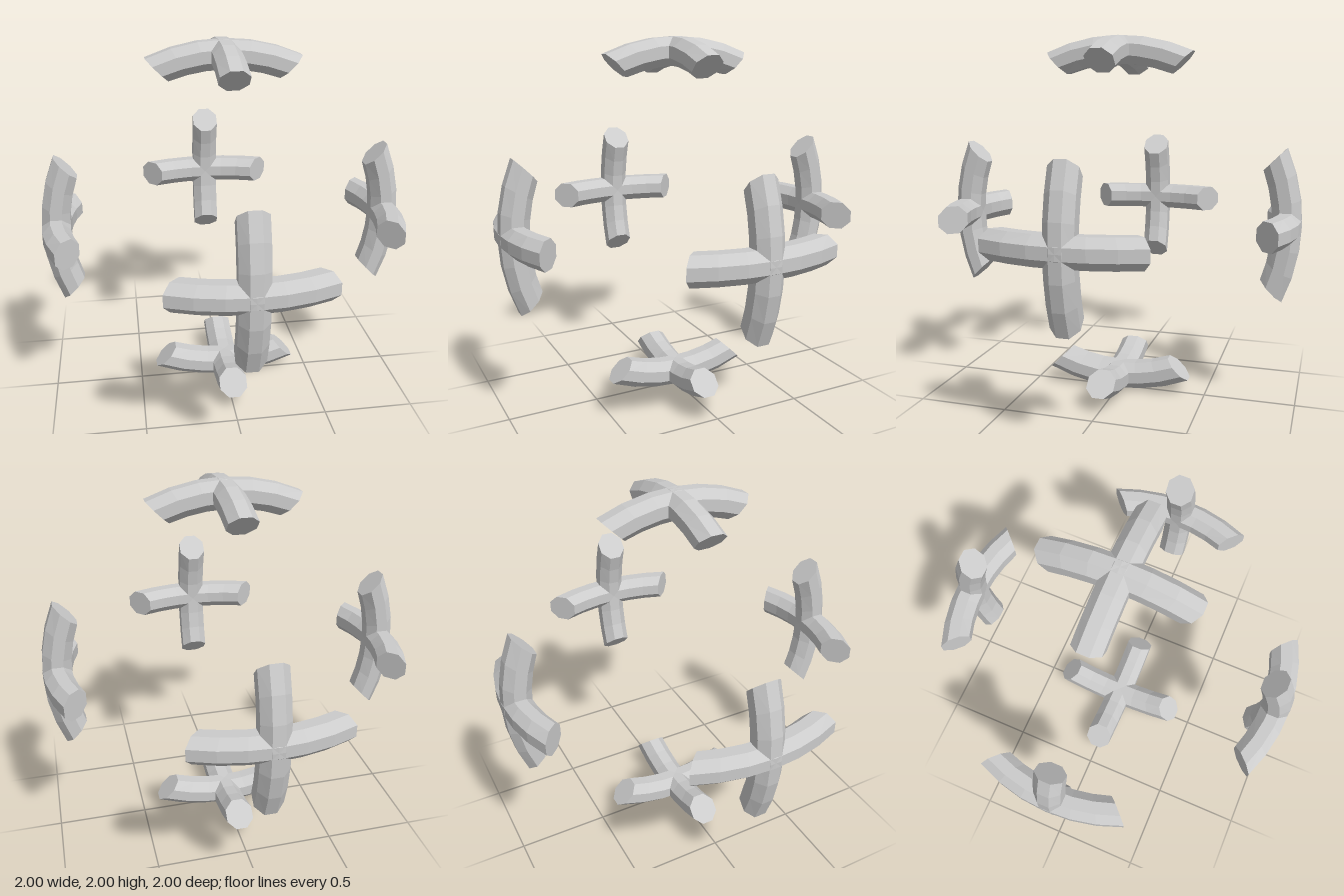
import * as THREE from 'three';

const SIDES = 8;
const STEPS = 3;              // segments from the middle of a bar to its end
const MID = 0.922;            // distance of a bar's axis from the centre
const RADIUS = 0.076 / Math.cos(Math.PI / SIDES);

// Curved octagonal bar over the top of a sphere, ends cut along 45 degree planes
function barGeometry() {
  const pos = [], index = [];
  for (let i = -STEPS; i <= STEPS; i++) {
    for (let k = 0; k < SIDES; k++) {
      const th = ((k + 0.5) / SIDES) * Math.PI * 2;
      const r = MID + RADIUS * Math.sin(th);
      const end = Math.acos(0.5 / (r * Math.SQRT2)) - Math.PI / 4;
      const a = (end * i) / STEPS;
      pos.push(r * Math.sin(a), r * Math.cos(a), RADIUS * Math.cos(th));
    }
  }
  const rings = STEPS * 2 + 1;
  for (let i = 0; i < rings - 1; i++) {
    for (let k = 0; k < SIDES; k++) {
      const n = (k + 1) % SIDES;
      const a = i * SIDES + k, b = i * SIDES + n;
      const c = b + SIDES, d = a + SIDES;
      index.push(a, d, c, a, c, b);
    }
  }
  // flat end caps
  const last = (rings - 1) * SIDES;
  for (let k = 1; k < SIDES - 1; k++) {
    index.push(0, k, k + 1, last, last + k + 1, last + k);
  }
  const g = new THREE.BufferGeometry();
  g.setAttribute('position', new THREE.Float32BufferAttribute(pos, 3));
  g.setIndex(index);
  g.computeVertexNormals();
  return g;
}

export function createModel() {
  const model = new THREE.Group();
  model.name = 'crossSphere';
  const material = new THREE.MeshStandardMaterial({ color: 0xcccccc, flatShading: true });
  const bar = barGeometry();
  const h = Math.PI / 2;

  // One cross of two bars for each of the six directions
  const crosses = [
    ['topCross', 0, 0], ['bottomCross', Math.PI, 0],
    ['frontCross', h, 0], ['backCross', -h, 0],
    ['leftCross', 0, -h], ['rightCross', 0, h],
  ];
  for (const [name, rx, rz] of crosses) {
    const cross = new THREE.Group();
    cross.name = name;
    for (const turn of [0, 1]) {
      const mesh = new THREE.Mesh(bar, material);
      mesh.name = turn ? 'crossBar' : 'mainBar';
      mesh.rotation.y = turn * h;
      cross.add(mesh);
    }
    cross.rotation.set(rx, 0, rz);
    cross.position.y = 1;
    model.add(cross);
  }
  return model;
}
